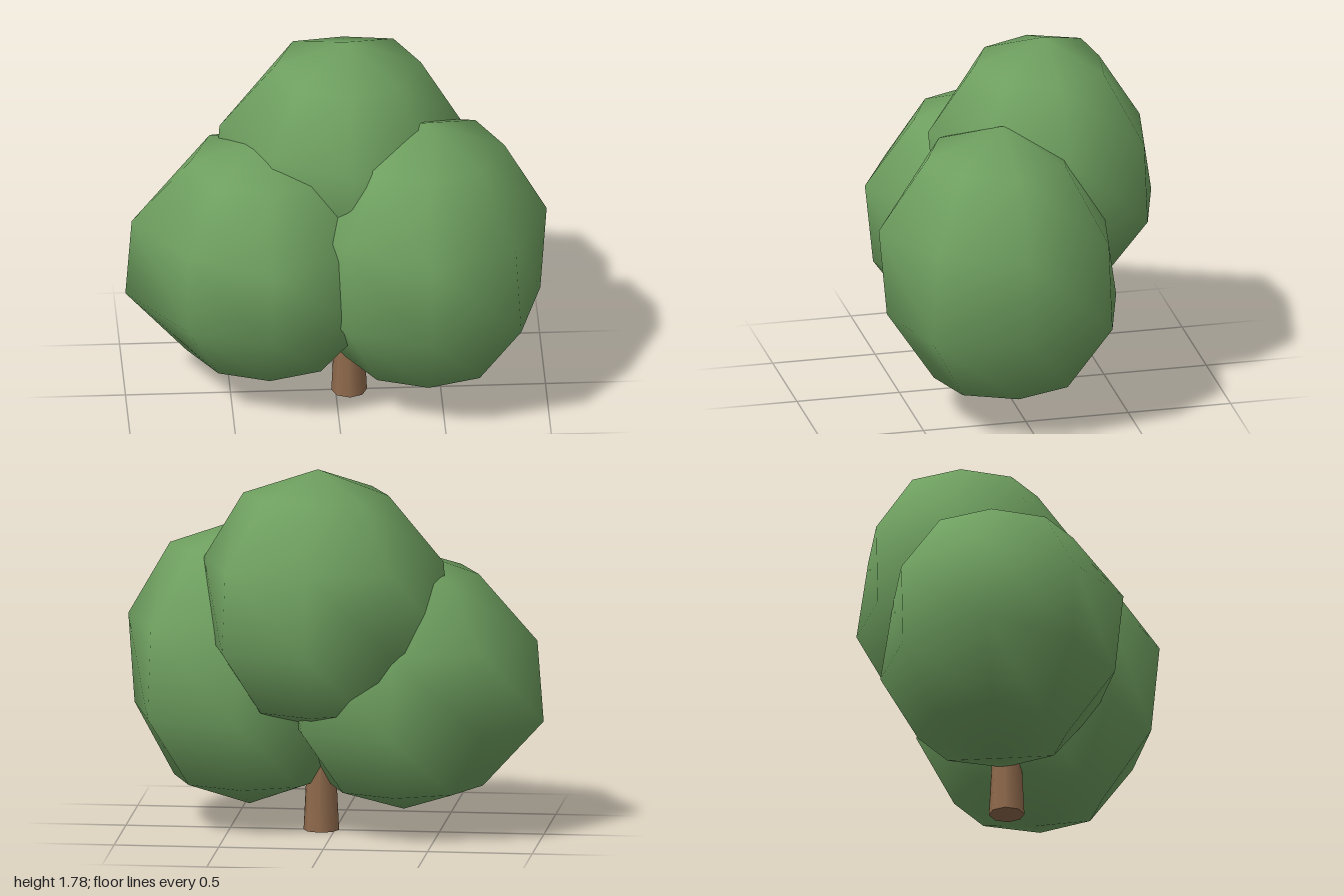
import * as THREE from 'three';
import { mergeVertices } from 'three/addons/utils/BufferGeometryUtils.js';

// Ring radii of one foliage clump, top ring first; each goes -x, front, +x, back in 45 degree steps
const RINGS = [
  [0.36, 0.35, 0.36, 0.36, 0.38, 0.36, 0.29, 0.36],
  [0.64, 0.56, 0.60, 0.58, 0.58, 0.60, 0.50, 0.60],
  [0.67, 0.56, 0.56, 0.615, 0.55, 0.62, 0.56, 0.59],
  [0.38, 0.34, 0.33, 0.35, 0.36, 0.37, 0.38, 0.37],
];

// Low-poly sphere with slightly uneven rings and smooth shading
function clumpGeometry() {
  const sphere = new THREE.SphereGeometry(1, 8, 5);
  const pos = sphere.attributes.position;
  for (let ring = 1; ring <= 4; ring++) {
    for (let i = 0; i <= 8; i++) {
      const r = RINGS[ring - 1][i % 8];
      const a = ((i % 8) * Math.PI) / 4;
      pos.setXYZ(ring * 9 + i, -r * Math.cos(a), Math.cos((ring * Math.PI) / 5), r * Math.sin(a));
    }
  }
  sphere.deleteAttribute('uv');
  sphere.deleteAttribute('normal');
  const geometry = mergeVertices(sphere, 1e-4);
  geometry.computeVertexNormals();
  return geometry;
}

export function createModel() {
  const tree = new THREE.Group();
  tree.name = 'tree';
  const leafMaterial = new THREE.MeshStandardMaterial({ color: 0x6fa060 });
  const barkMaterial = new THREE.MeshStandardMaterial({ color: 0x8f6a4c });

  // Tapered trunk, running up into the foliage
  const trunk = new THREE.Mesh(new THREE.CylinderGeometry(0.05, 0.085, 0.7, 8), barkMaterial);
  trunk.name = 'trunk';
  trunk.position.set(0.065, 0.35, 0);
  tree.add(trunk);

  // Three overlapping clumps: name, centre, half height, width scale
  const geometry = clumpGeometry();
  const clumps = [
    ['leftFoliage', [0.42, 0.795, 0.1], 0.695, 1],
    ['rightFoliage', [-0.33, 0.743, -0.01], 0.632, 1],
    ['topFoliage', [0.06, 1.15, -0.19], 0.63, 0.94],
  ];
  for (const [name, centre, halfHeight, width] of clumps) {
    const clump = new THREE.Mesh(geometry, leafMaterial);
    clump.name = name;
    clump.position.set(...centre);
    clump.scale.set(width, halfHeight, width);
    tree.add(clump);
  }
  return tree;
}
